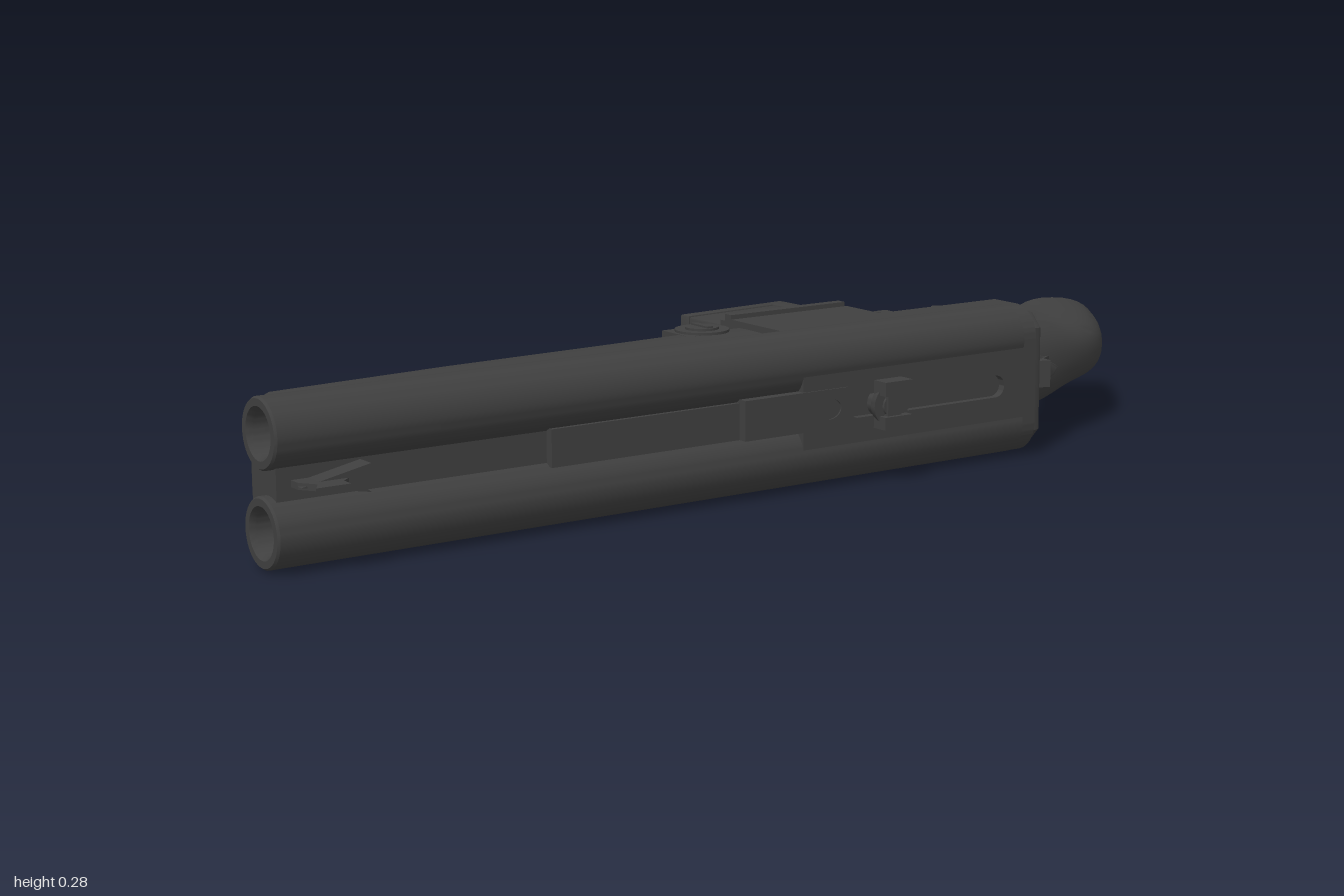
import * as THREE from 'three';
import { toCreasedNormals } from 'three/addons/utils/BufferGeometryUtils.js';

const MID = 0.14; // plane of symmetry: y = MID

export function createModel() {
  const group = new THREE.Group();
  const gunmetal = new THREE.MeshStandardMaterial({ color: 0x3f3f3f });
  gunmetal.name = 'gunmetal';

  const add = (name, geo, crease = 0.6) => {
    const mesh = new THREE.Mesh(toCreasedNormals(geo, crease), gunmetal);
    mesh.name = name;
    group.add(mesh);
    return mesh;
  };
  const box = (name, x0, x1, y0, y1, z0, z1) => add(name,
    new THREE.BoxGeometry(x1 - x0, y1 - y0, z1 - z0).translate((x0 + x1) / 2, (y0 + y1) / 2, (z0 + z1) / 2));
  const poly = (pts) => new THREE.Shape(pts.map(([a, b]) => new THREE.Vector2(a, b)));
  const extrude = (shape, depth, bevel = 0) => new THREE.ExtrudeGeometry(shape, {
    depth: depth - 2 * bevel, curveSegments: 20, bevelEnabled: bevel > 0,
    bevelSize: bevel, bevelThickness: bevel, bevelOffset: -bevel, bevelSegments: 2,
  }).translate(0, 0, bevel);
  // (x, y) outline along z; (x, z) outline along y; (z, y) outline along x
  const alongZ = (name, s, z0, z1, bevel) => add(name, extrude(s, z1 - z0, bevel).translate(0, 0, z0));
  const alongY = (name, s, y0, y1, bevel) => add(name, extrude(s, y1 - y0, bevel).rotateX(Math.PI / 2).translate(0, y1, 0));
  const alongX = (name, s, x0, x1, bevel) => add(name, extrude(s, x1 - x0, bevel).rotateY(-Math.PI / 2).translate(x1, 0, 0));

  // Skin between equal rings of points, closed at both ends
  const loft = (rings) => {
    const pos = [], idx = [], n = rings[0].length, m = rings.length;
    rings.forEach((r) => r.forEach((p) => pos.push(p.x, p.y, p.z)));
    for (let i = 0; i < m - 1; i++) for (let j = 0; j < n; j++) {
      const a = i * n + j, b = i * n + (j + 1) % n;
      idx.push(a, b, b + n, a, b + n, a + n);
    }
    [0, m - 1].forEach((i) => {
      const c = new THREE.Vector3();
      rings[i].forEach((p) => c.addScaledVector(p, 1 / n));
      const k = pos.length / 3;
      pos.push(c.x, c.y, c.z);
      for (let j = 0; j < n; j++) {
        const a = i * n + j, b = i * n + (j + 1) % n;
        idx.push(k, ...(i ? [a, b] : [b, a]));
      }
    });
    const g = new THREE.BufferGeometry();
    g.setAttribute('position', new THREE.Float32BufferAttribute(pos, 3));
    g.setIndex(idx);
    return g;
  };
  const pw = (v, e) => Math.sign(v) * Math.abs(v) ** e;

  // Twin barrels with open bores
  const barrelProfile = [[0.001, -0.5], [0.058, -0.5], [0.058, 0.996], [0.055, 1], [0.043, 1],
    [0.037, 0.99], [0.037, 0.4], [0.001, 0.4]].map(([r, z]) => new THREE.Vector2(r, z));
  [0.062, 0.219].forEach((y, i) => add(i ? 'upperBarrel' : 'lowerBarrel',
    new THREE.LatheGeometry(barrelProfile, 40).rotateX(Math.PI / 2).translate(0.146, y, 0)));
  box('barrelWeb', 0.09, 0.172, 0.1, 0.18, 0, 0.985);
  box('topRib', 0.1, 0.188, 0.108, 0.172, 0, 0.5);

  // Forend: rounded section tapering to the muzzle [z, left, right, half height]
  const forend = [[0, -0.04, 0.11, 0.125], [0.12, -0.04, 0.115, 0.126], [0.3, -0.031, 0.13, 0.126],
    [0.6, -0.013, 0.135, 0.126], [0.93, 0.01, 0.135, 0.123], [0.948, 0.016, 0.133, 0.117], [0.955, 0.026, 0.13, 0.108]];
  add('forend', loft(forend.map(([z, l, r, h]) => Array.from({ length: 48 }, (_, j) => {
    const t = j / 48 * Math.PI * 2, c = Math.cos(t);
    const e = c > 0 ? 0.3 : 0.62;
    return new THREE.Vector3((l + r) / 2 + pw(c, e) * (r - l) / 2, MID + pw(Math.sin(t), e) * h, z);
  }))), 0.7);

  // Shroud around the breech, with a channel for the deck plate
  const shroud = new THREE.Shape();
  shroud.moveTo(0.085, 0.004);
  shroud.lineTo(0.144, 0.004);
  shroud.absarc(0.144, 0.062, 0.058, -Math.PI / 2, 0, false);
  shroud.lineTo(0.188, 0.062);
  shroud.lineTo(0.188, 0.218);
  shroud.lineTo(0.202, 0.218);
  shroud.absarc(0.144, 0.218, 0.058, 0, Math.PI / 2, false);
  shroud.lineTo(0.085, 0.276);
  alongZ('breechShroud', shroud, -0.53, 0);
  const slotted = poly([[-0.53, 0.062], [0, 0.062], [0, 0.218], [-0.53, 0.218]]);
  const slot = new THREE.Path();
  slot.absarc(-0.12, MID, 0.02, -Math.PI / 2, Math.PI / 2, false);
  slot.absarc(-0.435, MID, 0.02, Math.PI / 2, Math.PI * 1.5, false);
  slotted.holes.push(slot);
  alongX('slottedDeck', slotted, 0.186, 0.202);
  alongZ('breechEnd', poly([[0.095, 0.018], [0.165, 0.018], [0.19, 0.045], [0.19, 0.235],
    [0.165, 0.262], [0.095, 0.262]]), -0.555, -0.52, 0.008);

  // Receiver, wide centre block and narrower rear
  box('receiverBlock', -0.028, 0.15, 0.008, 0.273, -0.27, -0.01);
  box('receiverFlange', -0.045, -0.026, 0.001, 0.281, -0.265, -0.01);
  alongY('rearReceiver', poly([[-0.045, -0.26], [0.1, -0.26], [0.1, -0.53], [0.085, -0.585],
    [0.06, -0.61], [0.03, -0.618], [-0.005, -0.6], [-0.03, -0.56], [-0.045, -0.51]]), 0.032, 0.248, 0.01);

  // Pistol grip [left x, left z, right x, right z, half thickness], butt first
  const grip = [[-0.25, -0.86, -0.15, -1, 0.061], [-0.17, -0.822, -0.045, -0.922, 0.061],
    [-0.105, -0.765, 0.04, -0.84, 0.061], [-0.055, -0.69, 0.095, -0.735, 0.064],
    [-0.035, -0.63, 0.125, -0.64, 0.082], [-0.03, -0.55, 0.135, -0.54, 0.1]];
  const track = (k) => new THREE.CatmullRomCurve3(grip.map((g) => new THREE.Vector3(g[k], g[4], g[k + 1])));
  const left = track(0), right = track(2);
  add('grip', loft(Array.from({ length: 25 }, (_, i) => {
    const L = left.getPoint(i / 24), R = right.getPoint(i / 24);
    return Array.from({ length: 32 }, (_, j) => {
      const t = j / 32 * Math.PI * 2, k = (1 + pw(Math.cos(t), 0.85)) / 2;
      return new THREE.Vector3(L.x + (R.x - L.x) * k, MID + 0.004 + pw(Math.sin(t), 0.85) * L.y, L.z + (R.z - L.z) * k);
    });
  })), 0.8);

  // Trigger guard and trigger
  const guard = new THREE.Shape().absellipse(-0.088, -0.495, 0.068, 0.115, 0, Math.PI * 2);
  guard.holes.push(new THREE.Path().absellipse(-0.088, -0.495, 0.055, 0.088, 0, Math.PI * 2));
  alongY('triggerGuard', guard, 0.11, 0.17);
  alongY('trigger', poly([[-0.03, -0.55], [-0.07, -0.555], [-0.105, -0.53], [-0.118, -0.5],
    [-0.1, -0.555], [-0.07, -0.58], [-0.03, -0.585]]), 0.125, 0.155);

  // Side-by-side magazines, and details repeated on both sides
  [-1, 1].forEach((s) => {
    const span = (a, b) => (s > 0 ? [MID + a, MID + b] : [MID - b, MID - a]);
    const side = s > 0 ? 'upper' : 'lower';
    alongY(side + 'Magazine', poly([[-0.203, -0.246], [-0.03, -0.255], [-0.03, -0.02], [-0.18, -0.015]]),
      ...span(0.026, 0.118), 0.004);
    alongY(side + 'MagazineSpine', poly([[-0.206, -0.252], [-0.05, -0.26], [-0.05, -0.225], [-0.203, -0.214]]),
      ...span(0.023, 0.121), 0.003);
    alongY(side + 'MagazineBase', poly([[-0.206, -0.252], [-0.184, -0.253], [-0.163, -0.014], [-0.185, -0.011]]),
      ...span(0.023, 0.121), 0.003);
    box(side + 'MagazineWell', -0.062, -0.04, ...span(0.015, 0.128), -0.262, -0.012);
    // Side pivot: pad, disc and slotted head
    const disc = (name, r, h, top) => add(name, new THREE.CylinderGeometry(r, r, h, 32)
      .translate(0.005, MID + s * (top - h / 2), 0.075));
    box(side + 'PivotPad', -0.038, 0.045, ...span(0.08, 0.126), 0.045, 0.13);
    disc(side + 'PivotDisc', 0.048, 0.05, 0.13);
    disc(side + 'PivotHead', 0.03, 0.05, 0.134);
    box(side + 'PivotBar', -0.02, 0.03, ...span(0.1, 0.137), 0.069, 0.081);
    // Receiver catch and pins
    box(side + 'Catch', 0.02, 0.08, ...span(0.08, 0.122), -0.325, -0.265);
    box(side + 'CatchButton', 0.035, 0.065, ...span(0.1, 0.13), -0.312, -0.285);
    [-0.09, -0.155, -0.22].forEach((z) => add(side + 'Pin',
      new THREE.CylinderGeometry(0.009, 0.009, 0.03, 16).translate(-0.05, MID + s * 0.117, z)));
    add(side + 'RearPin', new THREE.CylinderGeometry(0.012, 0.012, 0.03, 16).translate(-0.02, MID + s * 0.098, -0.48));
  });

  // Latch plate with a round-ended opening
  const latch = poly([[-0.095, 0.108], [0.125, 0.108], [0.125, 0.178], [-0.095, 0.178]]);
  latch.holes.push(new THREE.Path().absellipse(-0.055, 0.143, 0.025, 0.018, 0, Math.PI * 2));
  alongX('latchPlate', latch, 0.18, 0.205);

  // Charging knob with two ears
  add('knobStem', new THREE.CylinderGeometry(0.02, 0.026, 0.05, 24).rotateZ(-Math.PI / 2).translate(0.205, MID, -0.175));
  add('knobDisc', new THREE.CylinderGeometry(0.038, 0.034, 0.016, 32).rotateZ(-Math.PI / 2).translate(0.218, MID, -0.175));
  box('knobBar', 0.21, 0.235, 0.11, 0.175, -0.19, -0.16);
  box('knobLowerEar', 0.21, 0.243, 0.1, 0.123, -0.208, -0.148);
  box('knobUpperEar', 0.21, 0.243, 0.16, 0.185, -0.208, -0.148);

  // Front sight: wedge base and upright blade
  alongX('sightBase', poly([[0.84, 0.118], [0.96, MID], [0.84, 0.164], [0.87, MID]]), 0.165, 0.208);
  alongY('sightBlade', poly([[0.17, 0.85], [0.195, 0.865], [0.222, 0.895], [0.246, 0.895],
    [0.246, 0.955], [0.222, 0.94], [0.195, 0.96], [0.17, 0.96]]), 0.135, 0.146);

  // Break lever behind the breech
  alongX('breakLever', poly([[-0.54, 0.09], [-0.585, 0.105], [-0.635, 0.13], [-0.645, 0.145],
    [-0.61, 0.165], [-0.575, 0.185], [-0.54, 0.19]]), 0.1, 0.14, 0.006);
  alongY('leverSpur', poly([[0.1, -0.54], [0.165, -0.54], [0.155, -0.575], [0.165, -0.6],
    [0.14, -0.605], [0.118, -0.645], [0.1, -0.64]]), 0.115, 0.165);
  return group;
}
